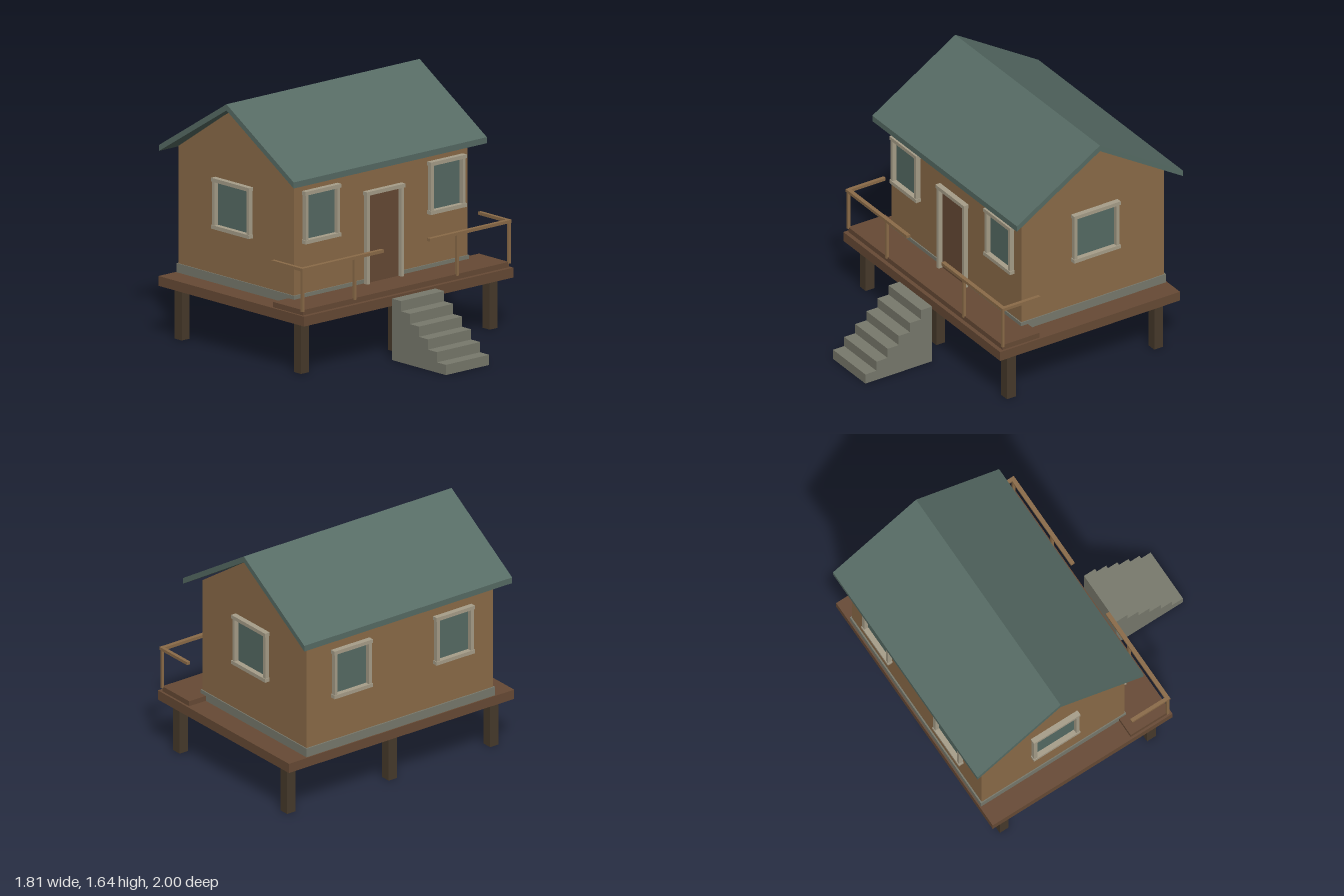
import * as THREE from 'three';

const mat = (name, color) => {
  const m = new THREE.MeshStandardMaterial({ color });
  m.name = name;
  return m;
};

export function createModel() {
  const siding = mat('siding', 0x8b6b48);
  const deckWood = mat('deck wood', 0x674a35);
  const postWood = mat('post wood', 0x473a2b);
  const green = mat('roof and glass green', 0x566b64);
  const trim = mat('trim', 0xa79e89);
  const stone = mat('stone', 0x78796c);

  const model = new THREE.Group();
  model.name = 'stiltCabin';

  // Box given by its min and max along each axis
  const box = (name, material, x0, x1, y0, y1, z0, z1, parent = model) => {
    const mesh = new THREE.Mesh(new THREE.BoxGeometry(x1 - x0, y1 - y0, z1 - z0), material);
    mesh.position.set((x0 + x1) / 2, (y0 + y1) / 2, (z0 + z1) / 2);
    mesh.name = name;
    parent.add(mesh);
    return mesh;
  };

  // Side profile of [z, y] points, extruded across x
  const profile = (name, material, points, halfWidth) => {
    const shape = new THREE.Shape(points.map(([z, y]) => new THREE.Vector2(z, y)));
    const geo = new THREE.ExtrudeGeometry(shape, { depth: halfWidth * 2, bevelEnabled: false });
    geo.translate(0, 0, -halfWidth);
    geo.rotateY(-Math.PI / 2);
    const mesh = new THREE.Mesh(geo, material);
    mesh.name = name;
    model.add(mesh);
  };

  // Stilts and platform
  for (const x of [-0.815, 0, 0.815])
    for (const z of [-0.805, 0.322])
      box('stilt', postWood, x - 0.034, x + 0.034, 0, 0.34, z - 0.034, z + 0.034);
  box('platform', deckWood, -0.905, 0.905, 0.34, 0.405, -0.93, 0.445);
  box('porchFloor', deckWood, -0.89, 0.89, 0.405, 0.44, 0.135, 0.417);

  // House body with gables
  const ridgeZ = -0.365;
  box('foundation', stone, -0.757, 0.757, 0.405, 0.465, -0.922, 0.188);
  profile('walls', siding,
    [[0.18, 0.405], [0.18, 1.238], [ridgeZ, 1.6], [-0.912, 1.238], [-0.912, 0.405]], 0.75);

  // Roof
  profile('roof', green,
    [[0.27, 1.204], [0.27, 1.244], [ridgeZ, 1.636], [-1, 1.244], [-1, 1.204], [ridgeZ, 1.595]], 0.835);

  // Stairs
  const steps = 6, rise = 0.405 / steps, run = 0.51 / steps;
  const stairs = [[0.49, 0], [0.49, 0.405]];
  for (let i = steps; i > 0; i--) {
    const z = 1 - (i - 1) * run;
    stairs.push([z, i * rise], [z, (i - 1) * rise]);
  }
  // outline walks down from the top tread to the ground
  profile('stairs', stone, stairs, 0.187);

  // Trimmed opening facing +z; w and h are the half sizes of the panel
  const opening = (name, panel, w, h, sill) => {
    const g = new THREE.Group();
    g.name = name;
    box('panel', panel, -w, w, -h, h, 0.008, 0.017, g);
    for (const s of [-1, 1])
      box('sideTrim', trim, s * (w + 0.011) - 0.012, s * (w + 0.011) + 0.012, -h, h, 0.016, 0.047, g);
    box('topTrim', trim, -w - 0.028, w + 0.028, h - 0.002, h + 0.023, 0.015, 0.052, g);
    if (sill) box('sill', trim, -w - 0.028, w + 0.028, -h - 0.023, -h + 0.002, 0.015, 0.052, g);
    model.add(g);
    return g;
  };
  const place = (g, x, y, z, turn = 0) => {
    g.position.set(x, y, z);
    g.rotation.y = turn;
  };

  // Door and windows
  place(opening('door', deckWood, 0.137, 0.294, false), 0, 0.734, 0.18);
  for (const s of [-1, 1]) {
    place(opening('frontWindow', green, 0.126, 0.15, true), s * 0.542, 0.975, 0.18);
    place(opening('backWindow', green, 0.126, 0.145, true), s * 0.41, 0.942, -0.912, Math.PI);
    place(opening('sideWindow', green, 0.15, s > 0 ? 0.15 : 0.145, true),
      s * 0.75, s > 0 ? 0.975 : 0.942, -0.368, s * Math.PI / 2);
  }

  // Porch railings, mirrored left and right
  for (const s of [-1, 1]) {
    const span = (a, b) => (s > 0 ? [a, b] : [-b, -a]);
    box('frontRail', siding, ...span(0.2, 0.905), 0.698, 0.718, 0.4, 0.428);
    box('sideRail', siding, ...span(0.881, 0.905), 0.698, 0.718, 0.137, 0.4);
    box('cornerPost', siding, ...span(0.882, 0.9), 0.43, 0.698, 0.407, 0.425);
    box('middlePost', siding, ...span(0.435, 0.453), 0.43, 0.698, 0.407, 0.425);
  }

  return model;
}
